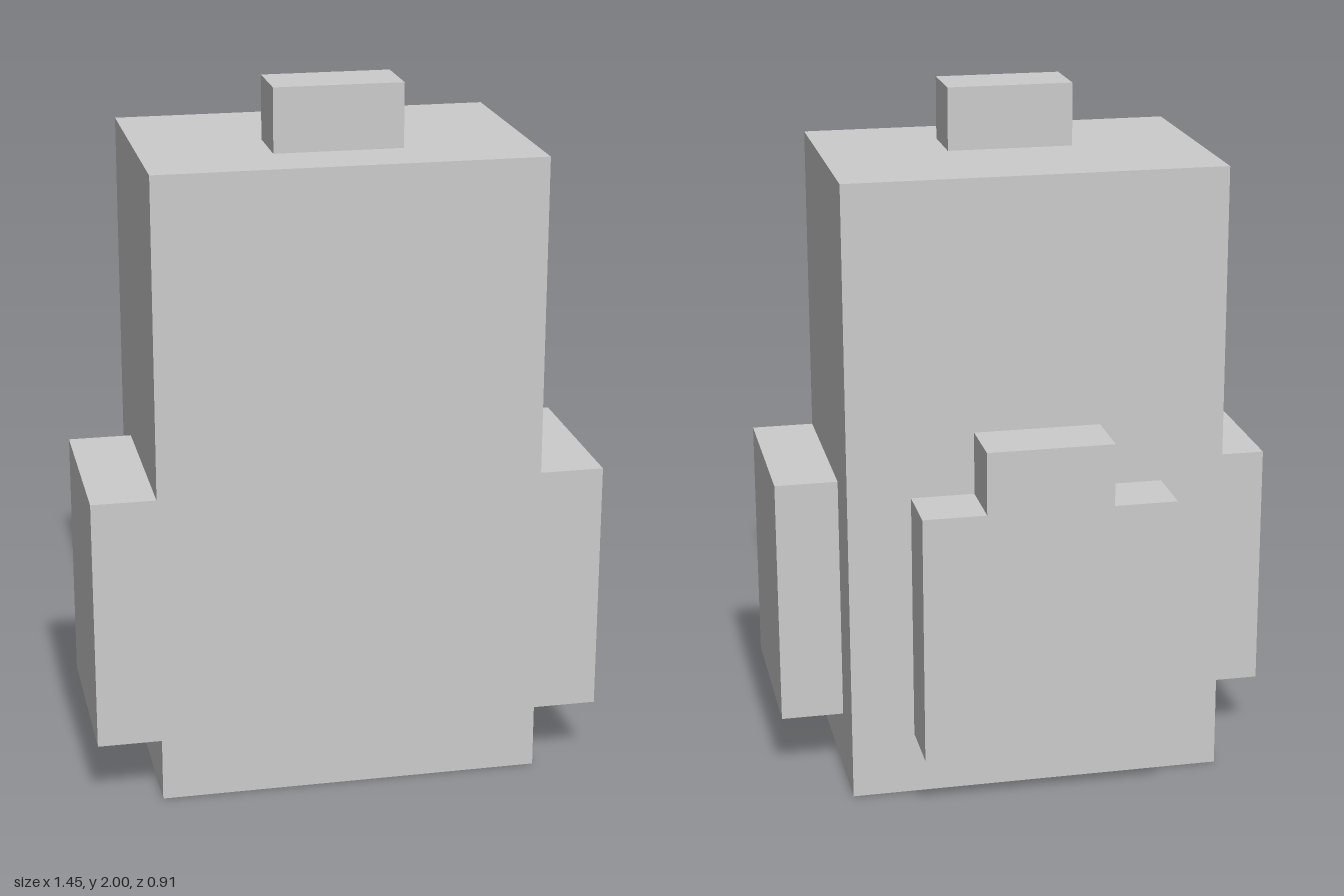
import * as THREE from 'three';

// The model sits on a regular block grid, 22 blocks tall
const U = 1 / 11;

export function createModel() {
  const group = new THREE.Group();
  const material = new THREE.MeshStandardMaterial({ color: 0xcccccc, flatShading: true });

  // Box between two corners given in grid blocks
  function block(name, [x0, y0, z0], [x1, y1, z1]) {
    const geometry = new THREE.BoxGeometry((x1 - x0) * U, (y1 - y0) * U, (z1 - z0) * U);
    const mesh = new THREE.Mesh(geometry, material);
    mesh.position.set((x0 + x1) / 2, (y0 + y1) / 2, (z0 + z1) / 2).multiplyScalar(U);
    mesh.name = name;
    group.add(mesh);
  }

  // Main pack and the carrying handle on top
  block('body', [-6, 0, -3], [6, 20, 5]);
  block('topHandle', [-2, 20, 1], [2, 22, 3]);

  // Side pockets, flush with the front
  block('leftPocket', [6, 2, -1], [8, 10, 5]);
  block('rightPocket', [-8, 2, -1], [-6, 10, 5]);

  // Back pocket with a raised tab, extruded from its outline
  const outline = [[-4, 2], [4, 2], [4, 10], [2, 10], [2, 12], [-2, 12], [-2, 10], [-4, 10]];
  const shape = new THREE.Shape(outline.map(([x, y]) => new THREE.Vector2(x * U, y * U)));
  const backPocket = new THREE.Mesh(
    new THREE.ExtrudeGeometry(shape, { depth: 2 * U, bevelEnabled: false }), material);
  backPocket.position.z = -5 * U;
  backPocket.name = 'backPocket';
  group.add(backPocket);

  return group;
}
